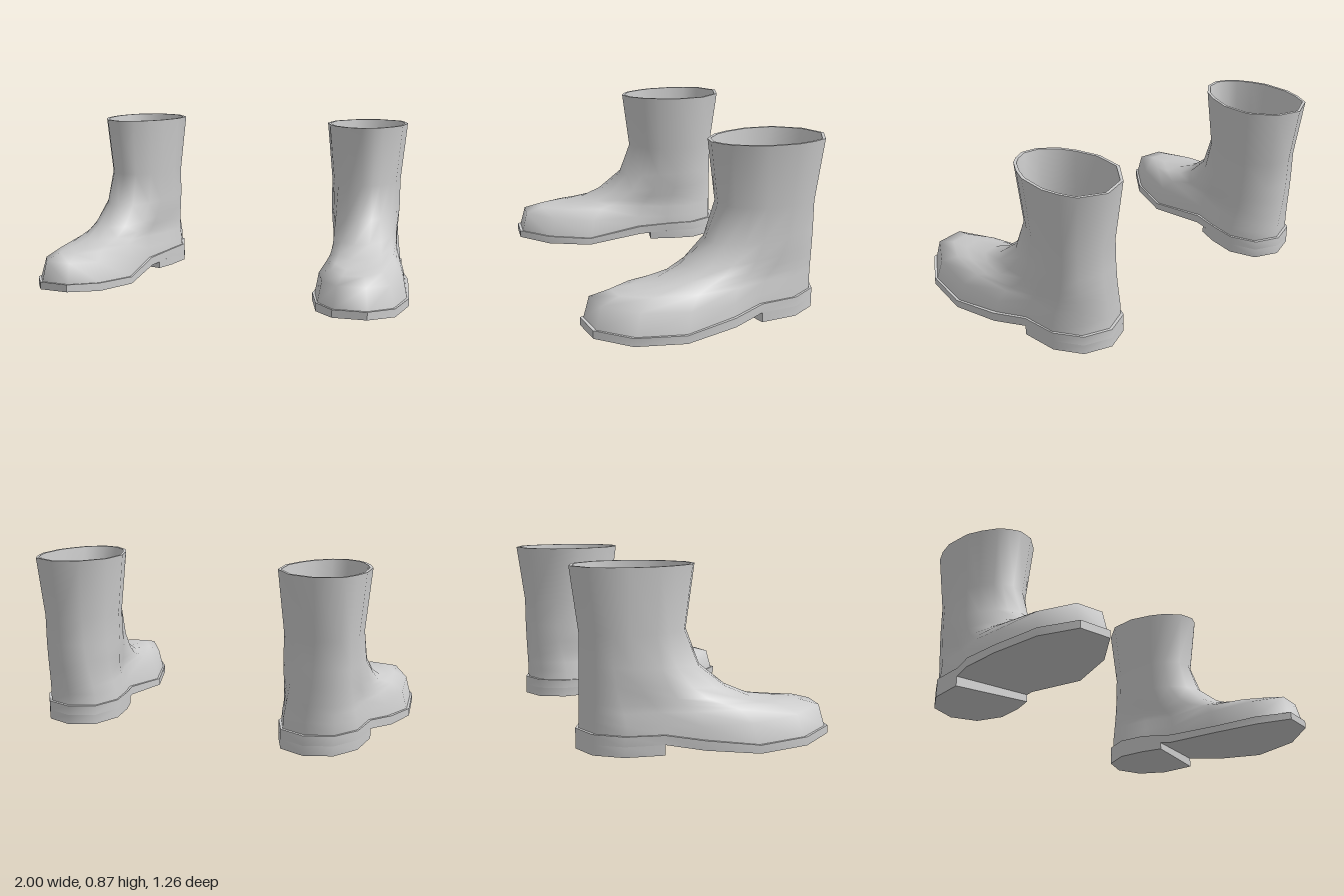
import * as THREE from 'three';
import { toCreasedNormals } from 'three/addons/utils/BufferGeometryUtils.js';

const { lerp } = THREE.MathUtils;
const material = new THREE.MeshStandardMaterial({ color: 0xcccccc });

// Outlines [x, z] of the left boot, running toe -> outer side -> heel -> inner side
const SOLE = [
  [0.865, 0.612], [0.97, 0.45], [1.0, 0.2], [0.955, -0.06], [0.885, -0.23],
  [0.865, -0.42], [0.78, -0.55], [0.64, -0.597], [0.51, -0.54], [0.455, -0.4],
  [0.475, -0.25], [0.53, -0.08], [0.51, 0.245], [0.585, 0.48], [0.7, 0.63],
];
const OPENING = [
  [0.76, -0.055], [0.8, -0.09], [0.845, -0.17], [0.875, -0.25], [0.88, -0.4],
  [0.855, -0.49], [0.815, -0.57], [0.687, -0.63], [0.553, -0.585], [0.46, -0.46],
  [0.45, -0.31], [0.49, -0.19], [0.535, -0.11], [0.617, -0.04], [0.7, -0.025],
];
const ANKLE = OPENING.map(([x, z]) => [0.667 + (x - 0.667) * 0.86, -0.318 + (z + 0.318) * 0.86]);

// Height along z, interpolated between [z, y] stations
function along(stations) {
  return (z) => {
    let i = 0;
    while (i < stations.length - 2 && z > stations[i + 1][0]) i++;
    const [[z0, y0], [z1, y1]] = [stations[i], stations[i + 1]];
    return lerp(y0, y1, THREE.MathUtils.clamp((z - z0) / (z1 - z0), 0, 1));
  };
}
const soleTop = along([[-0.6, 0.1], [-0.23, 0.095], [-0.03, 0.07], [0.1, 0.047], [0.25, 0.04], [0.4, 0.048], [0.63, 0.074]]);
const soleBottom = along([[-0.6, 0.05], [-0.23, 0.05], [0.13, 0.002], [0.3, 0.002], [0.48, 0.014], [0.63, 0.035]]);

// Upper rings: blend sole->ankle, toe narrowing, front height, back height, side sag
const RINGS = [
  [0.04, 0.1, 0.178, 0.16, 0.035],
  [0.18, 0.28, 0.205, 0.2, 0.005],
  [0.33, 0.28, 0.21, 0.24, 0],
  [0.54, 0.2, 0.23, 0.29, 0],
  [0.71, 0.1, 0.28, 0.34, 0],
  [0.9, 0, 0.385, 0.42, 0],
  [1, 0, 0.56, 0.56, 0],
];

function inset(ring, d, drop = 0) {
  const c = ring.reduce((s, p) => s.add(p), new THREE.Vector3()).divideScalar(ring.length);
  return ring.map((p) => {
    const dir = new THREE.Vector3(c.x - p.x, 0, c.z - p.z).normalize();
    return p.clone().addScaledVector(dir, d).setY(p.y - drop);
  });
}

function upperRings() {
  const base = inset(SOLE.map(([x, z]) => new THREE.Vector3(x, soleTop(z) - 0.004, z)), 0.016);
  const rings = RINGS.map(([k, narrow, yFront, yBack, sag]) => {
    const zFront = lerp(0.61, -0.065, k), zBack = -0.585;
    return base.map((p, i) => {
      const z = lerp(p.z, ANKLE[i][1], k);
      const t = THREE.MathUtils.clamp((z - zBack) / (zFront - zBack), 0, 1);
      const axis = lerp(0.66, 0.78, (z + 0.6) / 1.22);
      const x = axis + (lerp(p.x, ANKLE[i][0], k) - axis) * (1 - narrow * t);
      return new THREE.Vector3(x, lerp(yBack, yFront, t) - sag * 4 * t * (1 - t), z);
    });
  });
  return [base, ...rings, OPENING.map(([x, z]) => new THREE.Vector3(x, 0.87, z))];
}

// Indexed geometry; side = -1 mirrors the points and turns the faces round
function build(points, faces, side) {
  const geo = new THREE.BufferGeometry();
  const pos = points.flatMap((p) => [p.x * side, p.y, p.z]);
  geo.setAttribute('position', new THREE.Float32BufferAttribute(pos, 3));
  geo.setIndex(faces.flatMap(([a, b, c]) => (side > 0 ? [a, b, c] : [a, c, b])));
  geo.computeVertexNormals();
  return geo;
}

function wallFaces(rows, n) {
  const faces = [];
  for (let r = 0; r < rows - 1; r++) {
    for (let i = 0; i < n; i++) {
      const a = r * n + i, b = r * n + ((i + 1) % n);
      faces.push([a, b, b + n], [a, b + n, a + n]);
    }
  }
  return faces;
}

const loft = (rings, side) => build(rings.flat(), wallFaces(rings.length, rings[0].length), side);

// Solid between two height curves over an outline, capped by strips across it
function slab(outline, bottom, top, side) {
  const n = outline.length;
  const points = [bottom, top].flatMap((h) => outline.map(([x, z]) => new THREE.Vector3(x, h(z), z)));
  const faces = wallFaces(2, n);
  for (let i = 0; i < n - 2 - i; i++) {
    const j = n - 1 - i;
    const strip = [[i, i + 1, j]];
    if (j - 1 > i + 1) strip.push([i + 1, j - 1, j]);
    for (const [a, b, c] of strip) faces.push([a + n, b + n, c + n], [a, c, b]);
  }
  return toCreasedNormals(build(points, faces, side), 0.8);
}

function makeBoot(name, side) {
  const boot = new THREE.Group();
  boot.name = name;
  const add = (part, geo) => {
    const mesh = new THREE.Mesh(geo, material);
    mesh.name = part;
    boot.add(mesh);
  };
  const outer = upperRings();
  const rim = outer[outer.length - 1];
  const innerRim = inset(rim, 0.016);
  const inner = outer.slice(0, -1).map((r) => inset(r, 0.016, 0.012));

  add('upper', loft(outer, side));
  add('rim', loft([rim, innerRim], side));
  add('lining', loft([innerRim, ...inner.reverse()], side));
  add('sole', slab(SOLE, soleBottom, soleTop, side));
  // Heel block with a slanted front face
  add('heel', slab([...SOLE.slice(4, 11), [0.51, -0.14]], () => 0, soleBottom, side));
  return boot;
}

export function createModel() {
  const model = new THREE.Group();
  model.name = 'boots';
  model.add(makeBoot('leftBoot', 1), makeBoot('rightBoot', -1));
  return model;
}
